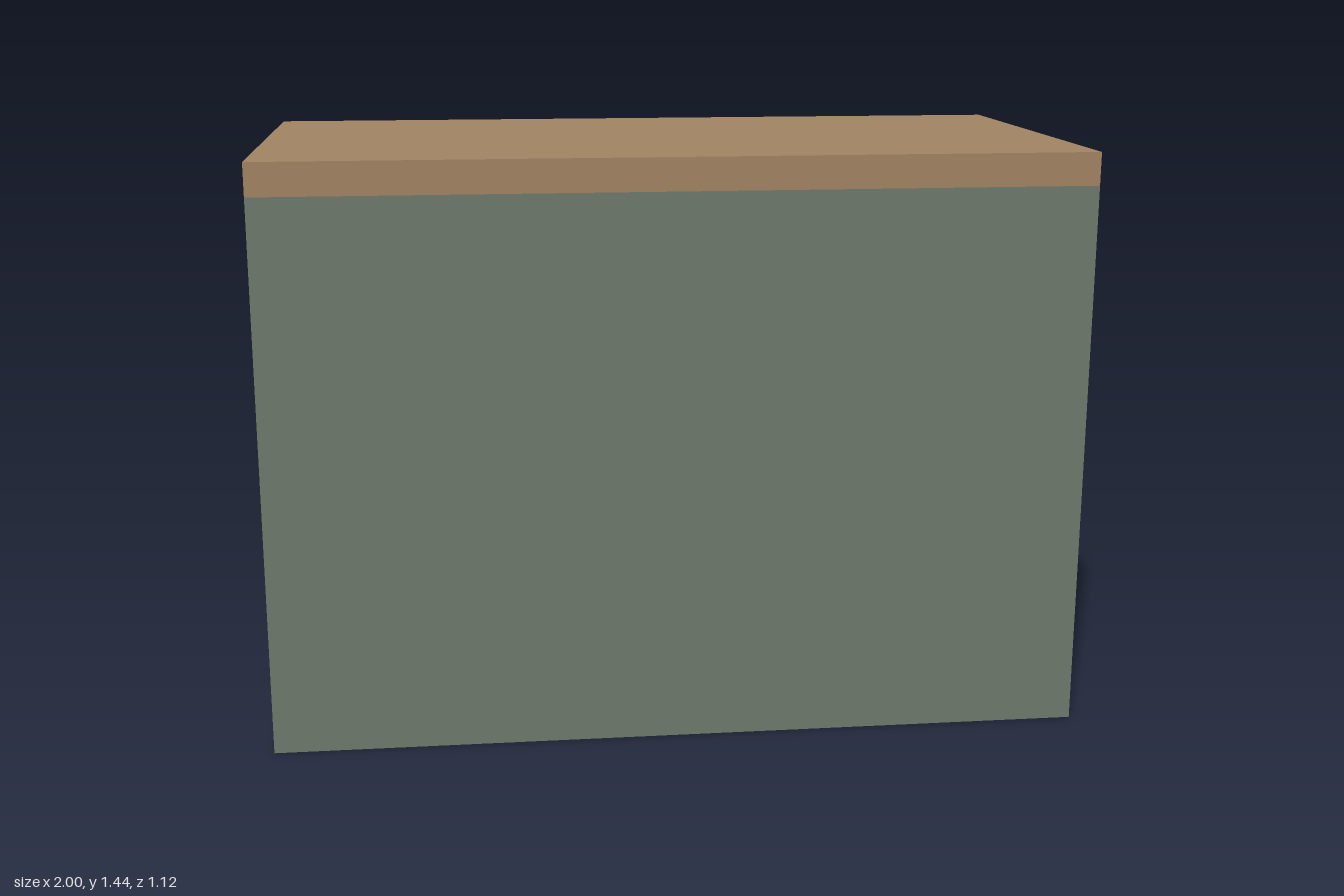
import * as THREE from 'three';

export function createModel() {
  const model = new THREE.Group();
  model.name = 'kitchenCabinet';

  const material = (name, color) => {
    const m = new THREE.MeshStandardMaterial({ color });
    m.name = name;
    return m;
  };
  const green = material('sageGreen', 0x6e7a6d);
  const wood = material('wood', 0xa38464);
  const dark = material('charcoal', 0x3b4142);

  // Box given by its minimum and maximum corners
  function box(name, mat, [x0, y0, z0], [x1, y1, z1], parent = model) {
    const mesh = new THREE.Mesh(new THREE.BoxGeometry(x1 - x0, y1 - y0, z1 - z0), mat);
    mesh.position.set((x0 + x1) / 2, (y0 + y1) / 2, (z0 + z1) / 2);
    mesh.name = name;
    parent.add(mesh);
    return mesh;
  }

  // Carcass, worktop and recessed kickboard; the doors face -z
  box('carcass', green, [-1, 0.14, -0.24], [1, 1.36, 0.56]);
  box('base', green, [-1, 0, -0.176], [1, 0.14, 0.56]);
  box('worktop', wood, [-1, 1.36, -0.48], [1, 1.44, 0.56]);
  box('kickboard', dark, [-1, 0, -0.24], [1, 0.14, -0.176]);
  box('kickboardTrim', dark, [-0.998, 0.14, -0.242], [0.998, 0.16, -0.238]);

  // Door frame outline with a square opening
  const rect = (path, x0, y0, x1, y1) =>
    path.moveTo(x0, y0).lineTo(x1, y0).lineTo(x1, y1).lineTo(x0, y1).closePath();
  const frame = new THREE.Shape();
  rect(frame, -0.48, 0.16, 0.48, 0.96);
  const opening = new THREE.Path();
  rect(opening, -0.4, 0.24, 0.4, 0.88);
  frame.holes.push(opening);
  const frameGeometry = new THREE.ExtrudeGeometry(frame, { depth: 0.08, bevelEnabled: false });

  for (const side of [1, -1]) {
    const label = side > 0 ? 'left' : 'right';
    const centre = 0.52 * side;

    // Door: frame, sunken panel and upright handle beside the middle gap
    const door = new THREE.Group();
    door.name = label + 'Door';
    model.add(door);
    const frameMesh = new THREE.Mesh(frameGeometry, green);
    frameMesh.name = 'doorFrame';
    frameMesh.position.set(centre, 0, -0.4);
    door.add(frameMesh);
    box('doorPanel', green, [centre - 0.48, 0.16, -0.32], [centre + 0.48, 0.96, -0.24], door);
    const grip = 0.08 * side;
    box('doorHandle', dark, [grip - 0.04, 0.56, -0.48], [grip + 0.04, 0.88, -0.4], door);

    // Drawer: the right one is pulled out a little
    const z = side > 0 ? -0.4 : -0.48;
    const drawer = new THREE.Group();
    drawer.name = label + 'Drawer';
    model.add(drawer);
    box('drawerFront', green, [centre - 0.48, 1.04, z], [centre + 0.48, 1.36, z + 0.16], drawer);
    box('drawerHandle', dark, [centre - 0.16, 1.2, z - 0.08], [centre + 0.16, 1.28, z], drawer);
  }

  // Bare wood patches on the right door and behind its drawer
  box('stilePatch', wood, [-0.122, 0.41, -0.402], [-0.038, 0.57, -0.322]);
  box('railPatch', wood, [-0.22, 0.878, -0.402], [-0.12, 0.962, -0.33]);
  box('carcassPatch', wood, [-0.85, 0.97, -0.242], [-0.72, 1.1, -0.238]);

  return model;
}
